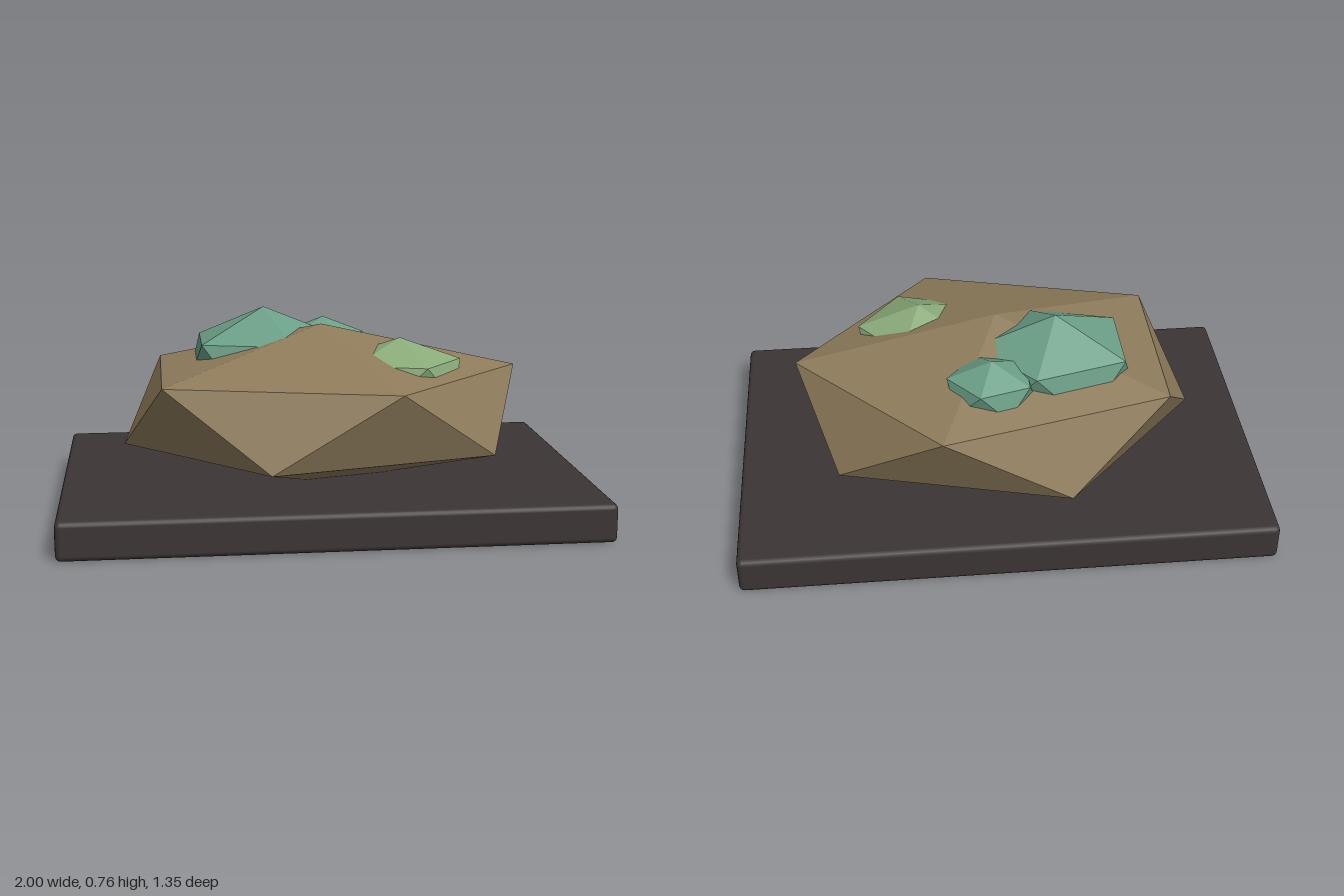
import * as THREE from 'three';
import { RoundedBoxGeometry } from 'three/addons/geometries/RoundedBoxGeometry.js';
import { ConvexGeometry } from 'three/addons/geometries/ConvexGeometry.js';

const material = (name, color, flatShading = true) => {
  const m = new THREE.MeshStandardMaterial({ color, flatShading });
  m.name = name;
  return m;
};

// Upright twenty-sided stone: two poles and two staggered rings of five.
// rx and rz are the ring radii, ry is the half height.
function stone(name, mat, [x, y, z], [rx, ry, rz]) {
  const points = [new THREE.Vector3(0, ry, 0), new THREE.Vector3(0, -ry, 0)];
  const ringY = ry / Math.sqrt(5);
  for (let i = 0; i < 5; i++) {
    const a = (i * 2 * Math.PI) / 5;
    const c = Math.cos(a) * rx, s = Math.sin(a) * rz;
    points.push(new THREE.Vector3(c, ringY, s), new THREE.Vector3(-c, -ringY, -s));
  }
  const mesh = new THREE.Mesh(new ConvexGeometry(points), mat);
  mesh.name = name;
  mesh.position.set(x, y, z);
  return mesh;
}

export function createModel() {
  const group = new THREE.Group();
  group.name = 'mossyRock';

  const slate = material('dark slate', 0x3c3535, false);
  const rock = material('brown rock', 0x8e7b5b);
  const teal = material('teal moss', 0x6b9f87);
  const green = material('green moss', 0x8aab7a);

  // Base slab with softened edges
  const slab = new THREE.Mesh(new RoundedBoxGeometry(2, 0.144, 1.35, 2, 0.02), slate);
  slab.name = 'baseSlab';
  slab.position.y = 0.072;
  group.add(slab);

  // Boulder sunk slightly into the slab
  group.add(stone('boulder', rock, [0, 0.395, 0], [0.765, 0.315, 0.588]));

  // Moss clumps half buried in the boulder
  group.add(stone('largeMossClump', teal, [-0.215, 0.54, -0.108], [0.305, 0.225, 0.25]));
  group.add(stone('smallMossClump', teal, [0.04, 0.577, -0.285], [0.165, 0.118, 0.142]));
  group.add(stone('frontMossClump', green, [0.285, 0.521, 0.145], [0.235, 0.154, 0.21]));

  return group;
}
